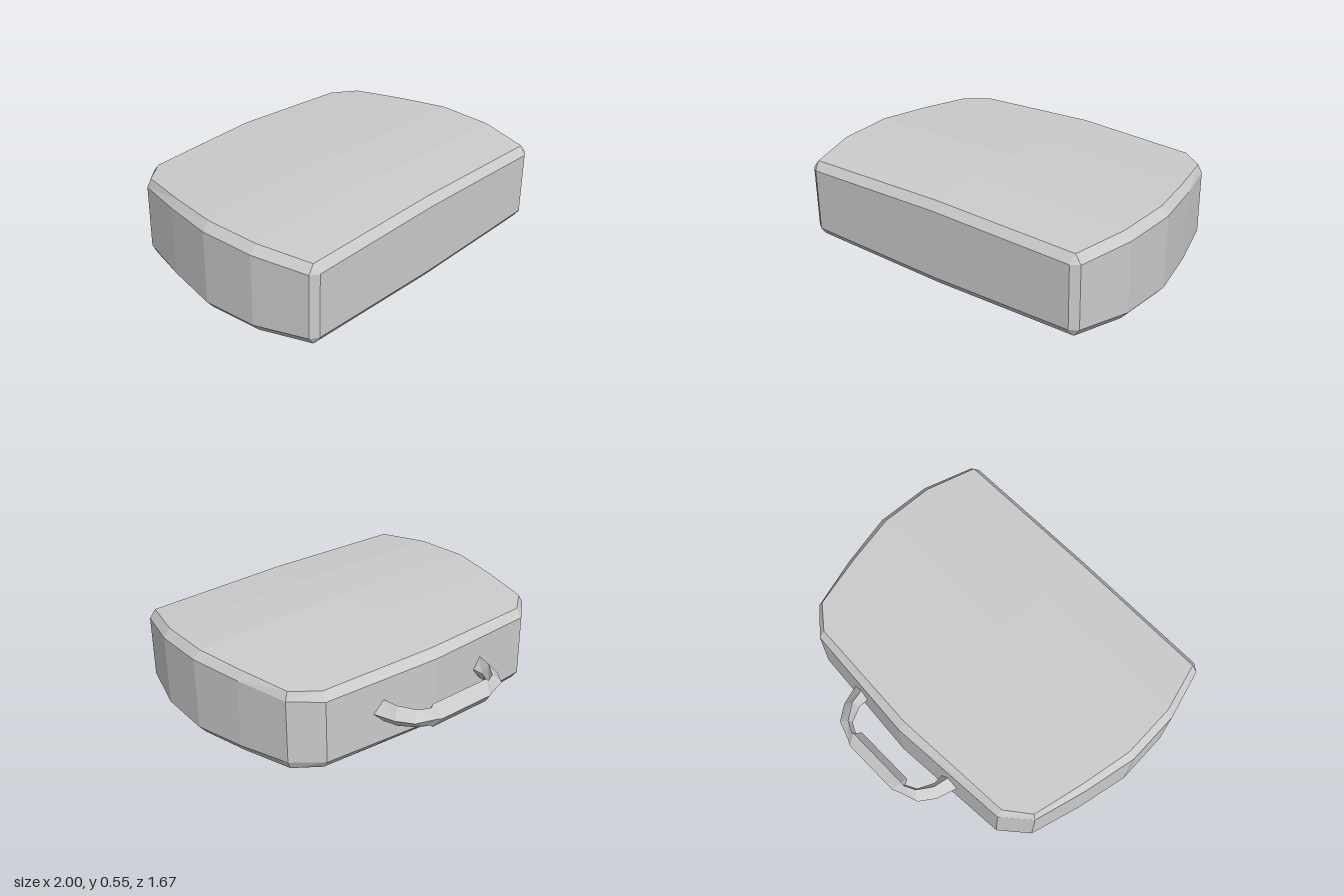
import * as THREE from 'three';

const MID = 0.2725; // height of the horizontal mirror plane

// Collects quads into a flat shaded mesh
function meshFromQuads(name, quads) {
  const pos = [];
  for (const [a, b, c, d] of quads) pos.push(...a, ...b, ...c, ...a, ...c, ...d);
  const geo = new THREE.BufferGeometry();
  geo.setAttribute('position', new THREE.Float32BufferAttribute(pos, 3));
  geo.computeVertexNormals();
  const mesh = new THREE.Mesh(geo, new THREE.MeshStandardMaterial({ color: 0xcccccc, flatShading: true }));
  mesh.name = name;
  return mesh;
}

// Quads joining two closed rings of equal length
function bridge(a, b) {
  return a.map((p, i) => {
    const j = (i + 1) % a.length;
    return [p, a[j], b[j], b[i]];
  });
}

const flipY = ([x, y, z]) => [x, 2 * MID - y, z];
const flipX = ([x, y, z]) => [-x, y, z];
const fullRing = (half) => [...half, ...half.slice(1, -1).reverse().map(flipX)];

// Crowned lid height: bulges along z and falls gently to the sides
const CROWN = [[0.8, 0.515], [0.52, 0.538], [0.18, 0.545], [-0.12, 0.533], [-0.57, 0.508]];
function lidHeight(x, z) {
  let k = 0;
  while (k < CROWN.length - 2 && z < CROWN[k + 1][0]) k++;
  const [z0, h0] = CROWN[k], [z1, h1] = CROWN[k + 1];
  return THREE.MathUtils.mapLinear(z, z0, z1, h0, h1) - 0.019 * Math.abs(x);
}

function createCase() {
  // Half outlines (x, z) from front centre round to back centre
  const wall = [[0, 0.83], [0.855, 0.83], [0.9, 0.8], [0.985, 0.5], [1, 0.18], [0.94, -0.13], [0.86, -0.43], [0.71, -0.56], [0, -0.61]];
  const rim = [[0, 0.795], [0.865, 0.795], [0.865, 0.795], [0.945, 0.5], [0.96, 0.18], [0.91, -0.11], [0.84, -0.42], [0.705, -0.525], [0, -0.565]];
  const rimHalf = rim.map(([x, z]) => [x, lidHeight(x, z), z]);
  const wallHalf = wall.map(([x, z], i) => [x, rimHalf[i][1] - 0.047, z]);
  const rimTop = fullRing(rimHalf), wallTop = fullRing(wallHalf);
  const rimLow = rimTop.map(flipY), wallLow = wallTop.map(flipY);

  const group = new THREE.Group();
  group.name = 'case';
  group.add(meshFromQuads('sideWalls', bridge(wallLow, wallTop)));
  group.add(meshFromQuads('topBevel', bridge(wallTop, rimTop)));
  group.add(meshFromQuads('bottomBevel', bridge(rimLow, wallLow)));

  // Lid panel: rows of left, centre, right points with a ridge down the middle
  const rows = rimHalf.slice(2, 8).map((r, i) => {
    const z = i === 5 ? -0.565 : r[2];
    return [flipX(r), [0, lidHeight(0, z), z], r];
  });
  const lid = [];
  for (let k = 0; k < rows.length - 1; k++) {
    for (let s = 0; s < 2; s++) {
      lid.push([rows[k][s], rows[k][s + 1], rows[k + 1][s + 1], rows[k + 1][s]]);
    }
  }
  group.add(meshFromQuads('topPanel', lid));
  group.add(meshFromQuads('bottomPanel', lid.map((q) => q.map(flipY).reverse())));
  return group;
}

function createHandle() {
  // Diamond sections: outer x, z, ridge x, z, inner x, z, half height
  const half = [
    [0.42, -0.57, 0.355, -0.57, 0.305, -0.565, 0.065],
    [0.38, -0.70, 0.335, -0.67, 0.307, -0.65, 0.06],
    [0.32, -0.785, 0.275, -0.755, 0.265, -0.738, 0.053],
    [0.205, -0.825, 0.21, -0.787, 0.205, -0.768, 0.053],
    [0.175, -0.84, 0.195, -0.785, 0.185, -0.74, 0.07],
  ].map(([ox, oz, rx, rz, ix, iz, h]) => [
    [ox, MID, oz], [rx, MID + h, rz], [ix, MID, iz], [rx, MID - h, rz],
  ]);
  const sections = [...half, ...half.map((s) => s.map(flipX)).reverse()];
  const quads = [];
  for (let i = 0; i < sections.length - 1; i++) quads.push(...bridge(sections[i + 1], sections[i]));
  return meshFromQuads('handle', quads);
}

export function createModel() {
  const model = new THREE.Group();
  model.name = 'suitcase';
  model.add(createCase(), createHandle());
  return model;
}
